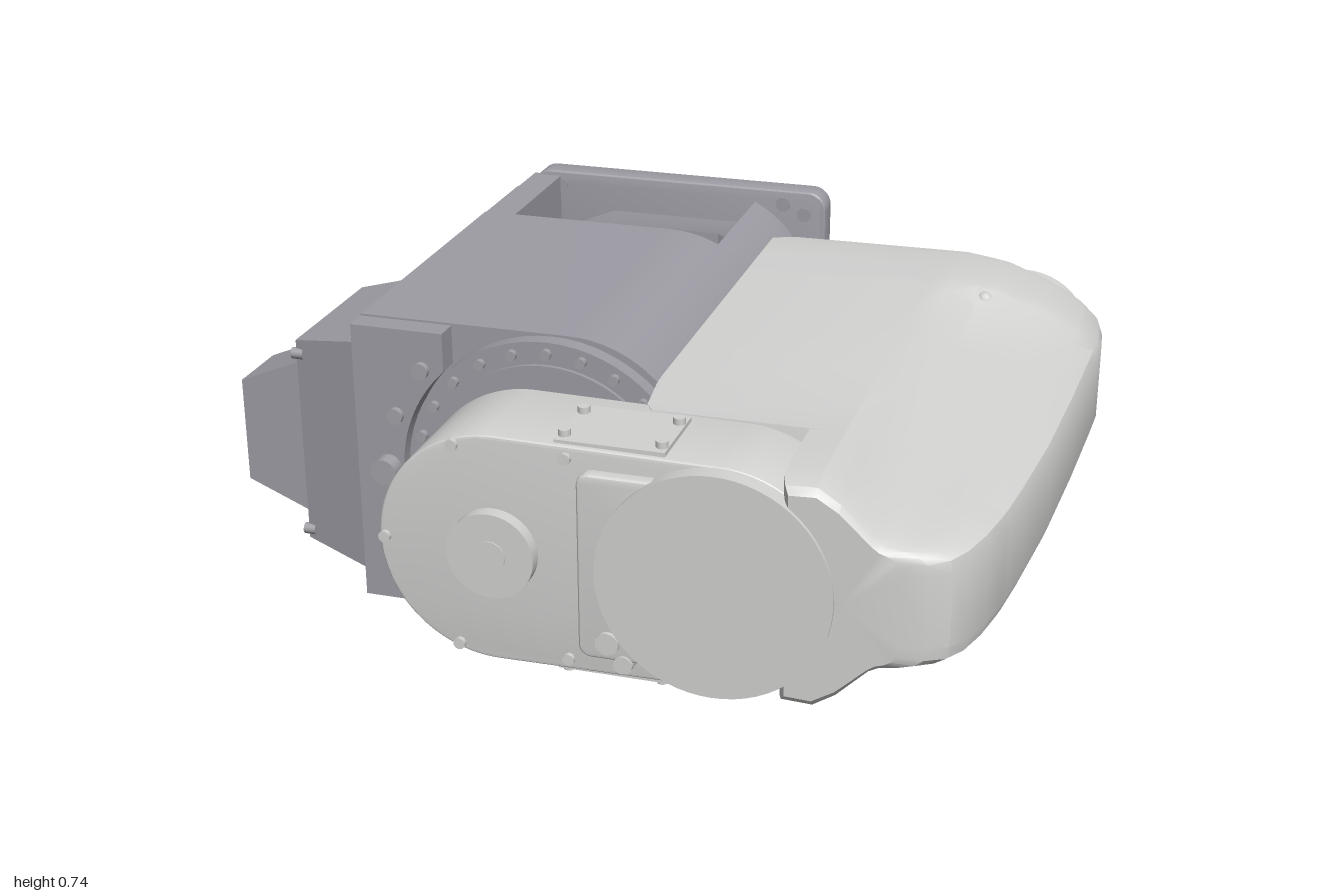
import * as THREE from 'three';
import { toCreasedNormals } from 'three/addons/utils/BufferGeometryUtils.js';

const mat = (name, color) => new THREE.MeshStandardMaterial({ name, color });

export function createModel() {
  const root = new THREE.Group();
  root.name = 'foldedRobotArm';
  const base = mat('baseGrey', 0x9d9ca4), arm = mat('armGrey', 0xd2d2d1), metal = mat('fittingGrey', 0xa2a2a7);
  metal.side = THREE.DoubleSide;
  const CY = 0.375;

  const add = (name, geo, m, parent = root) => {
    const mesh = new THREE.Mesh(geo, m);
    mesh.name = name;
    parent.add(mesh);
    return mesh;
  };
  // Box given by its min and max corners
  const box = (name, m, x0, x1, y0, y1, z0, z1, parent) => {
    const b = add(name, new THREE.BoxGeometry(x1 - x0, y1 - y0, z1 - z0), m, parent);
    b.position.set((x0 + x1) / 2, (y0 + y1) / 2, (z0 + z1) / 2);
    return b;
  };
  // Cylinder along z between z0 and z1
  const cylZ = (name, m, x, y, r, z0, z1, seg = 48, parent) => {
    const c = add(name, new THREE.CylinderGeometry(r, r, z1 - z0, seg).rotateX(Math.PI / 2), m, parent);
    c.position.set(x, y, (z0 + z1) / 2);
    return c;
  };
  const extrude = (shape, z0, z1, bevel = 0) => toCreasedNormals(new THREE.ExtrudeGeometry(shape, {
    depth: z1 - z0 - 2 * bevel, curveSegments: 24, bevelEnabled: bevel > 0,
    bevelSize: bevel, bevelThickness: bevel, bevelOffset: -bevel, bevelSegments: 3,
  }).translate(0, 0, z0 + bevel), 0.5);
  const roundRect = (x0, x1, y0, y1, r) => {
    const s = new THREE.Shape(), h = Math.PI / 2;
    s.absarc(x1 - r, y0 + r, r, -h, 0).absarc(x1 - r, y1 - r, r, 0, h);
    s.absarc(x0 + r, y1 - r, r, h, 2 * h).absarc(x0 + r, y0 + r, r, 2 * h, 3 * h);
    return s.closePath();
  };
  // Box whose -x face is shrunk in y and z
  const taper = (name, m, x0, x1, y0, y1, z0, z1, sy, sz) => {
    const b = box(name, m, x0, x1, y0, y1, z0, z1), p = b.geometry.attributes.position;
    for (let i = 0; i < p.count; i++) if (p.getX(i) < 0) {
      p.setY(i, p.getY(i) * sy);
      p.setZ(i, p.getZ(i) * sz);
    }
    b.geometry = b.geometry.toNonIndexed();
    b.geometry.computeVertexNormals();
    return b;
  };

  // Base: flat left side, rounded right side
  const bodyShape = (xl) => {
    const R = 0.3, cx = -0.13, a = Math.acos(Math.max(0, (xl - cx) / R)), pts = [];
    for (let i = 0; i <= 16; i++) {
      const t = a * (1 - i / 16);
      pts.push(new THREE.Vector2(cx + R * Math.cos(t), CY + 0.06 + R * Math.sin(t)));
    }
    const low = pts.map((p) => new THREE.Vector2(p.x, 2 * CY - p.y)).reverse();
    const left = xl < cx ? [new THREE.Vector2(xl, CY - 0.36), new THREE.Vector2(xl, CY + 0.36)] : [];
    return new THREE.Shape([...pts, ...low, ...left].reverse());
  };
  add('baseBody', extrude(bodyShape(-0.65), -0.37, 0.44), base);
  add('baseRearRib', extrude(bodyShape(0), -0.76, -0.37), base);
  box('baseLeftWall', base, -0.65, -0.57, 0.02, 0.73, -0.76, -0.37);
  box('pocketFloor', base, -0.57, -0.41, 0.2, 0.55, -0.76, -0.37);
  // Recessed panel sloping down towards the mounting flange, above and below
  const panel = new THREE.Shape();
  panel.moveTo(0.37, CY - 0.36).lineTo(0.37, CY + 0.36).lineTo(0.42, CY + 0.335)
    .lineTo(0.76, CY + 0.265).lineTo(0.76, CY - 0.265).lineTo(0.42, CY - 0.335).closePath();
  const recess = add('recessPanel', extrude(panel, -0.41, 0), base);
  recess.rotation.y = Math.PI / 2;
  // Front lip cut away around the bearing ring
  const lip = new THREE.Shape(), cut = Math.atan2(0.26, -0.25);
  lip.moveTo(-0.65, 0.02).lineTo(-0.42, 0.02).absarc(-0.17, CY, 0.361, -cut, cut, true);
  lip.lineTo(-0.42, 0.73).lineTo(-0.65, 0.73).closePath();
  add('baseFrontLip', extrude(lip, 0.43, 0.5), base);

  // Mounting flange
  add('mountingFlange', extrude(roundRect(-0.65, 0.2, 0.005, 0.745, 0.05), -0.825, -0.75, 0.01), base);
  cylZ('flangeCover', arm, -0.17, CY, 0.18, -0.837, -0.82);
  for (const x of [-0.57, 0.08, 0.14]) for (const s of [-1, 1])
    for (const z of [-0.829, -0.753]) cylZ('flangeHole', base, x, CY + s * (x > 0.1 ? 0.305 : 0.33), 0.02, z, z + 0.006, 16);

  // First joint: bearing ring, bolts and hub
  cylZ('bearingRing', base, -0.17, CY, 0.355, 0.4, 0.48, 64);
  cylZ('bearingInner', base, -0.17, CY, 0.3, 0.48, 0.49, 64);
  cylZ('jointHub', base, -0.17, CY, 0.19, 0.48, 0.58);
  for (let i = 0; i < 24; i++) {
    const a = (i / 24) * Math.PI * 2;
    cylZ('ringBolt', metal, -0.17 + 0.328 * Math.cos(a), CY + 0.328 * Math.sin(a), 0.013, 0.48, 0.495, 10);
  }
  cylZ('frontPlug', metal, -0.57, CY, 0.032, 0.5, 0.54, 20);
  for (const s of [-1, 1]) for (const [x, d] of [[-0.545, 0.137], [-0.475, 0.26]])
    cylZ('frontPlug', metal, x, CY + s * d, 0.02, 0.49, 0.515, 14);

  // Link housing
  const link = new THREE.Shape();
  link.absarc(-0.17, CY, 0.275, Math.PI / 2, Math.PI * 1.5);
  link.absarc(0.34, CY, 0.268, -Math.PI / 2, Math.PI / 2).closePath();
  add('linkHousing', extrude(link, 0.565, 0.842, 0.008), arm);
  taper('linkShoulder', arm, -0.42, -0.3, 0.22, 0.53, 0.5, 0.6, 0.8, 0.3);
  cylZ('linkEndCap', arm, 0.34, CY, 0.265, 0.82, 0.885, 64);
  add('linkFrontBlock', extrude(roundRect(0.03, 0.36, 0.155, 0.6, 0.03), 0.82, 0.87, 0.01), arm);
  cylZ('jointBoss', arm, -0.17, CY, 0.102, 0.84, 0.875);
  cylZ('jointBossCentre', arm, -0.17, CY, 0.037, 0.874, 0.878, 24);
  for (const s of [-1, 1]) {
    box('linkCoverPlate', arm, -0.03, 0.22, CY + s * 0.272 - 0.008, CY + s * 0.272 + 0.008, 0.63, 0.83);
    for (const x of [-0.015, 0.205]) for (const z of [0.67, 0.8]) {
      const b = add('coverScrew', new THREE.CylinderGeometry(0.014, 0.014, 0.03, 10), arm);
      b.position.set(x, CY + s * 0.28, z);
    }
    for (const x of [-0.43, -0.26, 0]) cylZ('linkBolt', arm, x, CY + s * (x < -0.4 ? 0 : 0.245), 0.014, 0.84, 0.853, 10);
  }
  cylZ('linkPlug', arm, 0.1, 0.2, 0.027, 0.86, 0.88, 16);
  cylZ('linkPlug', arm, 0.135, 0.15, 0.022, 0.84, 0.875, 16);

  // Upper arm shell: [z, left x, right x, height scale], with a side groove growing forwards
  const sections = [
    [-0.68, 0.14, 0.975, 0.97], [-0.63, 0.07, 0.985, 1], [-0.5, 0.065, 0.997, 1], [-0.43, 0.065, 0.995, 1],
    [-0.37, 0.065, 0.993, 1], [-0.1, 0.065, 0.982, 1], [0.2, 0.07, 0.965, 1], [0.45, 0.085, 0.94, 1],
    [0.57, 0.1, 0.925, 1], [0.6, 0.12, 0.92, 1], [0.601, 0.48, 0.92, 1], [0.7, 0.48, 0.9, 1], [0.78, 0.48, 0.875, 0.99],
    [0.83, 0.48, 0.845, 0.97], [0.86, 0.49, 0.8, 0.94], [0.875, 0.5, 0.74, 0.88],
  ];
  const loops = sections.map(([z, xl, xr, k]) => {
    const t = z < -0.4 ? 0 : 0.3 + 0.7 * (z + 0.37) / 1.245;
    const g = Math.min(0.69, xr - 0.03), at = (f) => g + (xr - g) * f;
    const half = [
      [xl, 0.272], [0.56, 0.275], [g - 0.08, 0.275 - 0.035 * t], [g - 0.01, 0.265 - 0.1 * t], [at(0.12), 0.257 - 0.105 * t],
      [at(0.5), 0.215 - 0.07 * t], [at(0.8), 0.165 - 0.03 * t], [at(0.96), 0.12], [xr, 0.09],
    ];
    const side = (s) => half.map(([x, d]) => [x, CY + s * d * k, z]);
    return [...side(-1), ...side(1).reverse()];
  });
  const n = loops[0].length, pos = loops.flat(2), idx = [];
  for (let s = 0; s < loops.length - 1; s++) for (let i = 0; i < n; i++) {
    const j = (i + 1) % n, a = s * n + i, b = s * n + j;
    idx.push(a, b, b + n, a, b + n, a + n);
  }
  const c0 = loops.length * n, last = c0 - n;
  pos.push(0.6, CY, -0.68, 0.62, CY, 0.875);
  for (let i = 0; i < n; i++) {
    const j = (i + 1) % n;
    idx.push(c0, j, i, c0 + 1, last + i, last + j);
  }
  const shell = new THREE.BufferGeometry();
  shell.setAttribute('position', new THREE.Float32BufferAttribute(pos, 3));
  shell.setIndex(idx);
  add('upperArm', toCreasedNormals(shell, 0.48), arm);

  // Wrist flange and rear cover
  const wrist = [[0.18, -0.83, -0.67], [0.15, -0.862, -0.83], [0.12, -0.89, -0.862]];
  for (const [r, z0, z1] of wrist) cylZ('wristFlange', arm, 0.75, CY, r, z0, z1);
  cylZ('wristBore', metal, 0.75, CY, 0.035, -0.893, -0.888, 24);
  for (let i = 0; i < 8; i++) {
    const a = ((i + 0.5) / 8) * Math.PI * 2;
    cylZ('wristBolt', arm, 0.75 + 0.135 * Math.cos(a), CY + 0.135 * Math.sin(a), 0.011, -0.872, -0.86, 10);
  }
  add('rearCover', extrude(roundRect(0.27, 0.44, 0.24, 0.51, 0.084), -0.692, -0.67), arm);
  for (const s of [-1, 1]) {
    for (const x of [0.24, 0.52]) cylZ('rearScrew', metal, x, CY + s * 0.215, 0.022, -0.686, -0.675, 14);
    add('armPlug', new THREE.SphereGeometry(0.022, 12, 8), arm).position.set(0.7, CY + s * 0.235, -0.41);
    cylZ('innerScrew', base, 0.1, CY + s * 0.2, 0.03, -0.7, -0.63, 14);
  }

  // Connection boxes on the left wall
  taper('junctionBox', base, -0.83, -0.645, 0.08, 0.68, -0.01, 0.485, 0.88, 0.78);
  taper('cableBox', base, -1, -0.83, 0.17, 0.58, 0.23, 0.4, 0.65, 1);
  taper('connectorPanel', base, -0.71, -0.645, 0.06, 0.69, -0.8, -0.3, 0.97, 0.9);
  taper('middlePanel', base, -0.69, -0.645, 0.12, 0.63, -0.32, 0.02, 0.9, 0.8);
  const dome = [[0, 0], [0.065, 0], [0.083, 0.025], [0.083, 0.09], [0.065, 0.1], [0.065, 0.12], [0.083, 0.12], [0.083, 0.15]];
  const gland = add('cableGland', toCreasedNormals(new THREE.LatheGeometry(
    dome.map(([x, y]) => new THREE.Vector2(x, y)), 32).rotateX(Math.PI / 2), 0.5), metal);
  gland.position.set(-0.915, CY, 0.125);

  // Slanted power connector
  const plug = new THREE.Group();
  plug.name = 'powerConnector';
  plug.position.set(-0.73, CY, -0.03);
  plug.rotation.y = 0.53;
  root.add(plug);
  box('connectorBody', metal, -0.09, 0.1, -0.11, 0.11, -0.17, 0.06, plug);
  cylZ('connectorNeck', metal, 0, 0, 0.08, -0.21, -0.17, 32, plug);
  cylZ('connectorNut', metal, 0, 0, 0.09, -0.25, -0.19, 32, plug);
  cylZ('connectorCap', metal, 0, 0, 0.068, -0.26, -0.25, 8, plug);

  // Small air fittings and panel screws
  for (const [y, z] of [[0.2, -0.68], [0.2, -0.5], [0.52, -0.5]]) {
    const f = new THREE.Group();
    f.name = 'airFitting';
    f.position.set(-0.71, y, z);
    root.add(f);
    add('fittingStem', new THREE.CylinderGeometry(0.022, 0.022, 0.07, 14).rotateZ(Math.PI / 2), metal, f).position.x = -0.03;
    add('fittingElbow', new THREE.SphereGeometry(0.034, 14, 10), metal, f).position.x = -0.055;
    cylZ('fittingTube', metal, -0.055, 0, 0.028, -0.08, 0, 14, f);
  }
  const port = add('roundPort', new THREE.CylinderGeometry(0.045, 0.045, 0.04, 24).rotateZ(Math.PI / 2), metal);
  port.position.set(-0.72, 0.45, -0.66);
  for (const s of [-1, 1]) for (const [x, z, d] of [[-0.705, -0.74, 0.28], [-0.705, -0.37, 0.28], [-0.825, 0.09, 0.235], [-0.825, 0.43, 0.235]]) {
    const b = add('panelScrew', new THREE.CylinderGeometry(0.014, 0.014, 0.03, 10).rotateZ(Math.PI / 2), metal);
    b.position.set(x, CY + s * d, z);
  }
  return root;
}
